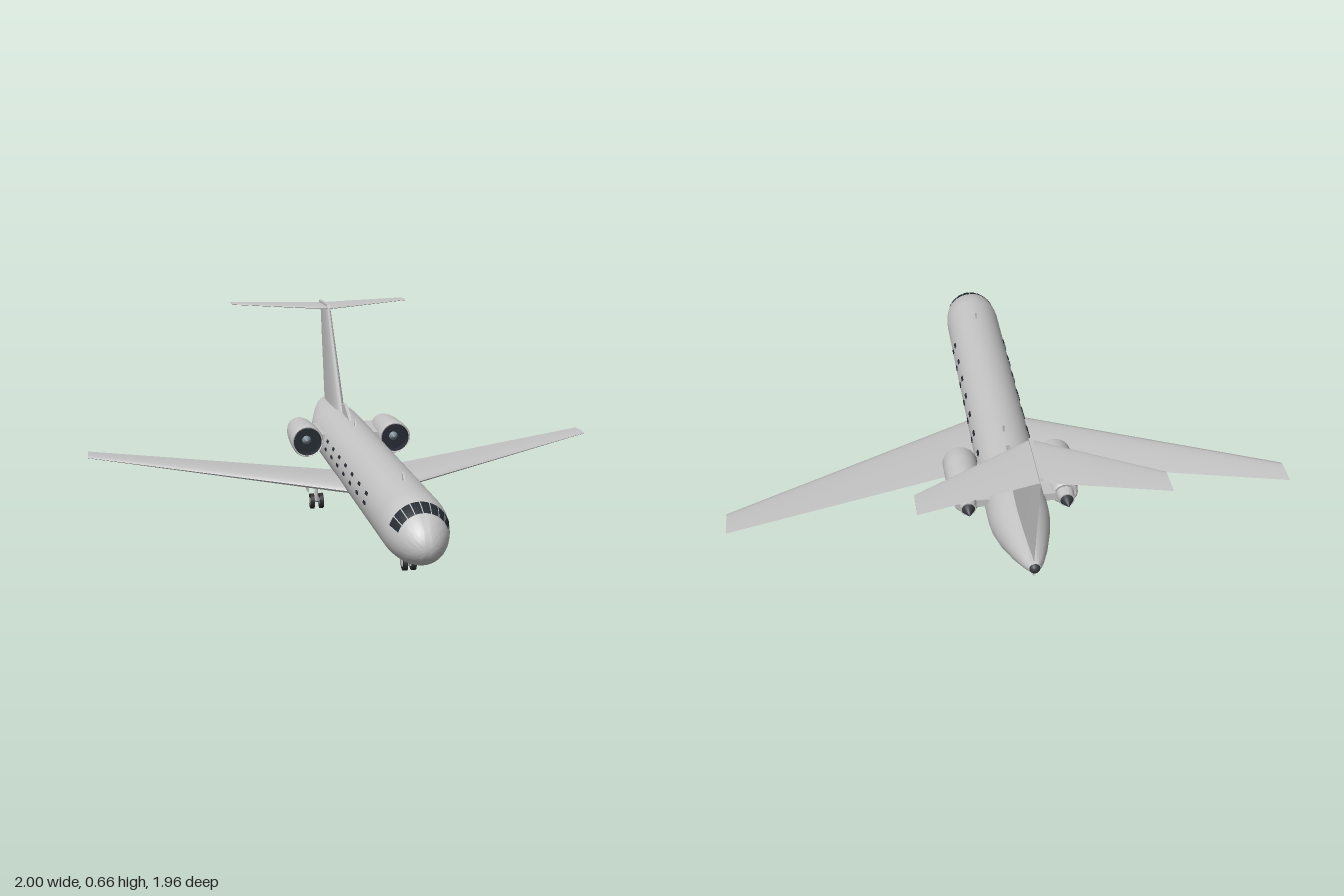
import * as THREE from 'three';
import { toCreasedNormals } from 'three/addons/utils/BufferGeometryUtils.js';
import { ParametricGeometry } from 'three/addons/geometries/ParametricGeometry.js';

const V = (x, y, z) => new THREE.Vector3(x, y, z);

function material(name, color, side = THREE.FrontSide) {
  const m = new THREE.MeshStandardMaterial({ color, side });
  m.name = name;
  return m;
}

// Closed skin over equal-length rings of points, capped at both ends, always facing outward
function skin(rings, crease = 0.7) {
  const n = rings[0].length, pts = rings.flat(), idx = [];
  for (let i = 0; i < rings.length - 1; i++) for (let j = 0; j < n; j++) {
    const a = i * n + j, b = i * n + (j + 1) % n;
    idx.push(a, a + n, b, b, a + n, b + n);
  }
  [0, rings.length - 1].forEach((r, end) => {
    const mid = V(0, 0, 0);
    rings[r].forEach(p => mid.addScaledVector(p, 1 / n));
    const c = pts.push(mid) - 1;
    for (let j = 0; j < n; j++) {
      const a = r * n + j, b = r * n + (j + 1) % n;
      idx.push(c, end ? b : a, end ? a : b);
    }
  });
  let volume = 0;
  for (let i = 0; i < idx.length; i += 3)
    volume += pts[idx[i]].dot(V(0, 0, 0).crossVectors(pts[idx[i + 1]], pts[idx[i + 2]]));
  if (volume < 0) idx.reverse();
  const g = new THREE.BufferGeometry().setFromPoints(pts);
  g.setIndex(idx);
  return toCreasedNormals(g, crease);
}

// Aerofoil outline: u along the chord (0 = leading edge), h = signed half thickness
const foilOutline = Array.from({ length: 24 }, (_, k) => {
  const a = (k / 24) * Math.PI * 2, u = (1 + Math.cos(a)) / 2;
  const h = 5 * (0.2969 * Math.sqrt(u) - 0.126 * u - 0.3516 * u * u + 0.2843 * u ** 3 - 0.1015 * u ** 4);
  return [u, h * (a < Math.PI ? 1 : -1)];
});

// Fuselage stations aft of the nose: z, top, bottom, half width
const stations = [
  [0.77, 0.275, 0.058, 0.107], [-0.43, 0.275, 0.058, 0.107], [-0.48, 0.2745, 0.061, 0.106],
  [-0.53, 0.273, 0.071, 0.102], [-0.6, 0.268, 0.096, 0.088], [-0.7, 0.259, 0.147, 0.062],
  [-0.78, 0.251, 0.192, 0.035], [-0.81, 0.247, 0.21, 0.02],
];

// Point on the fuselage surface at station z and angle a
function bodyPoint(z, a, grow = 1) {
  let top, bottom, width;
  if (z > 0.77) {
    const t = Math.min((z - 0.77) / 0.21, 1), r = Math.max(Math.sqrt(1 - t * t), 0.004);
    const mid = 0.1665 - 0.017 * t * t;
    top = mid + 0.1085 * r; bottom = mid - 0.1085 * r; width = 0.107 * r;
  } else {
    let i = 0;
    while (i < stations.length - 2 && z < stations[i + 1][0]) i++;
    const t = (stations[i][0] - z) / (stations[i][0] - stations[i + 1][0]);
    [top, bottom, width] = [1, 2, 3].map(k => THREE.MathUtils.lerp(stations[i][k], stations[i + 1][k], t));
  }
  return V(Math.cos(a) * width * grow, (top + bottom) / 2 + Math.sin(a) * (top - bottom) / 2 * grow, z);
}

// Thin upright plate from a [z, y] outline
function blade(outline, thickness) {
  const g = new THREE.ExtrudeGeometry(new THREE.Shape(outline.map(p => new THREE.Vector2(...p))),
    { depth: thickness, bevelEnabled: false });
  return g.rotateY(-Math.PI / 2).translate(thickness / 2, 0, 0);
}

// Lathe of [radius, z] points about the z axis
const turned = profile => toCreasedNormals(
  new THREE.LatheGeometry(profile.map(p => new THREE.Vector2(...p)), 32).rotateX(Math.PI / 2), 0.6);

export function createModel() {
  const model = new THREE.Group();
  model.name = 'jetAirliner';
  const paint = material('lightGreyPaint', 0xc4c4c4);
  const glass = material('darkGlass', 0x262c33, THREE.DoubleSide);
  const dark = material('darkMetal', 0x35393d);
  const rubber = material('tyreRubber', 0x2b2b2b);
  const steel = material('blueGreySteel', 0x7d8a94);
  const add = (name, geometry, mat, x = 0, y = 0, z = 0, parent = model) => {
    const m = new THREE.Mesh(geometry, mat);
    m.name = name;
    m.position.set(x, y, z);
    parent.add(m);
    return m;
  };

  // Fuselage
  const zs = [];
  for (let i = 0; i <= 14; i++) zs.push(0.77 + 0.21 * Math.cos((i / 14) * Math.PI / 2));
  stations.slice(1).forEach(s => zs.push(s[0]));
  add('fuselage', skin(zs.map(z => Array.from({ length: 48 }, (_, j) => bodyPoint(z, (j / 48) * Math.PI * 2)))), paint);
  add('tailTip', new THREE.SphereGeometry(0.019, 16, 10), dark, 0, 0.2285, -0.806);

  // Cockpit panes following the nose
  for (let i = 0; i < 8; i++) {
    const a0 = THREE.MathUtils.degToRad(19 + i * 18), a1 = a0 + THREE.MathUtils.degToRad(16);
    add('cockpitPane', new ParametricGeometry((u, v, p) =>
      p.copy(bodyPoint(0.858 + 0.05 * v, a0 + (a1 - a0) * u, 1.02)), 4, 5), glass);
  }

  // Wings and tailplane
  for (const s of [1, -1]) {
    const wing = [[0, 0.105, 0.22, 0.322, 0.036], [0.107, 0.108, 0.163, 0.298, 0.034], [1, 0.154, -0.312, 0.102, 0.008]];
    add(s > 0 ? 'leftWing' : 'rightWing', skin(wing.map(([x, y, z, chord, thick]) =>
      foilOutline.map(([u, h]) => V(s * x, y + h * thick, z - u * chord)))), paint);
    const tail = [[0, -0.675, 0.213], [0.378, -0.89, 0.09]];
    add(s > 0 ? 'leftTailplane' : 'rightTailplane', skin(tail.map(([x, z, chord], i) =>
      foilOutline.map(([u, h]) => V(s * x, 0.648 + h * (i ? 0.006 : 0.012), z - u * chord)))), paint);
  }

  // Fin, its cap fairing and the small dorsal parts
  const fin = [[0.235, -0.358, 0.438, 0.042], [0.65, -0.67, 0.215, 0.022]];
  add('fin', skin(fin.map(([y, z, chord, thick]) =>
    foilOutline.map(([u, h]) => V(h * thick, y, z - u * chord)))), paint);
  add('finCap', blade([[-0.675, 0.645], [-0.69, 0.663], [-0.88, 0.66], [-0.885, 0.645]], 0.012), paint);
  add('dorsalFairing', blade([[-0.21, 0.27], [-0.25, 0.29], [-0.31, 0.315], [-0.355, 0.315], [-0.355, 0.27]].reverse(), 0.012), paint);
  for (const z of [0.655, -0.125])
    add('topAntenna', blade([[z + 0.015, 0.27], [z - 0.012, 0.27], [z - 0.012, 0.299], [z - 0.003, 0.297]].reverse(), 0.006), paint);
  add('bellyAntenna', blade([[0.27, 0.062], [0.24, 0.062], [0.24, 0.036], [0.248, 0.037]].reverse(), 0.006), paint);
  add('tailSkeg', blade([[-0.765, 0.2], [-0.795, 0.21], [-0.795, 0.183], [-0.785, 0.183]], 0.006), paint);

  // Cabin windows: two rows of slim panes per side
  for (const s of [1, -1]) for (let i = 0; i < 7; i++) for (const y of [0.208, 0.178]) {
    const lift = Math.asin((y - 0.1665) / 0.1085);
    const pane = add('cabinWindow', new THREE.BoxGeometry(0.006, 0.01, 0.026), glass,
      s * 0.107 * Math.cos(lift), y, 0.552 - i * 0.1195);
    pane.rotation.z = s * lift;
  }

  // Rear engines
  for (const s of [1, -1]) {
    const engine = new THREE.Group();
    engine.name = s > 0 ? 'leftEngine' : 'rightEngine';
    engine.position.set(s * 0.172, 0.204, 0);
    model.add(engine);
    add('nacelle', turned([[0.0, -0.42], [0.04, -0.43], [0.046, -0.425], [0.053, -0.38], [0.058, -0.32], [0.061, -0.25],
      [0.061, -0.2], [0.058, -0.191], [0.054, -0.193], [0.052, -0.23]]), paint, 0, 0, 0, engine);
    add('nozzle', turned([[0, -0.462], [0.027, -0.465], [0.033, -0.42]]), paint, 0, 0, 0, engine);
    add('exhaustCone', turned([[0, -0.503], [0.009, -0.488], [0.023, -0.464], [0.023, -0.455]]), dark, 0, 0, 0, engine);
    add('intakeLining', new THREE.CylinderGeometry(0.0535, 0.0515, 0.036, 32, 1, true).rotateX(Math.PI / 2), glass, 0, 0, -0.212, engine);
    add('fanDisc', new THREE.CircleGeometry(0.052, 32), glass, 0, 0, -0.226, engine);
    add('fanSpinner', new THREE.ConeGeometry(0.017, 0.024, 20).rotateX(Math.PI / 2), steel, 0, 0, -0.214, engine);
    add('pylon', new THREE.BoxGeometry(0.08, 0.03, 0.2), paint, -s * 0.075, 0, -0.34, engine);
  }

  // Landing gear
  const gear = (name, x, z, r, gap, top) => {
    const g = new THREE.Group();
    g.name = name;
    g.position.set(x, r, z);
    model.add(g);
    for (const s of [1, -1]) {
      add('tyre', new THREE.CylinderGeometry(r, r, 0.014, 24).rotateZ(Math.PI / 2), rubber, s * gap, 0, 0, g);
      add('hub', new THREE.CylinderGeometry(r * 0.5, r * 0.5, 0.017, 16).rotateZ(Math.PI / 2), paint, s * gap, 0, 0, g);
    }
    add('axle', new THREE.CylinderGeometry(0.005, 0.005, gap * 2, 10).rotateZ(Math.PI / 2), steel, 0, 0, 0, g);
    add('strut', new THREE.CylinderGeometry(0.007, 0.007, top - r, 12), paint, 0, (top - r) / 2, 0, g);
  };
  gear('noseGear', 0, 0.729, 0.024, 0.014, 0.07);
  for (const s of [1, -1]) {
    gear(s > 0 ? 'leftMainGear' : 'rightMainGear', s * 0.174, 0.005, 0.028, 0.017, 0.112);
    add('gearDoor', new THREE.BoxGeometry(0.004, 0.04, 0.045), paint, s * 0.207, 0.088, 0.005);
  }
  return model;
}
